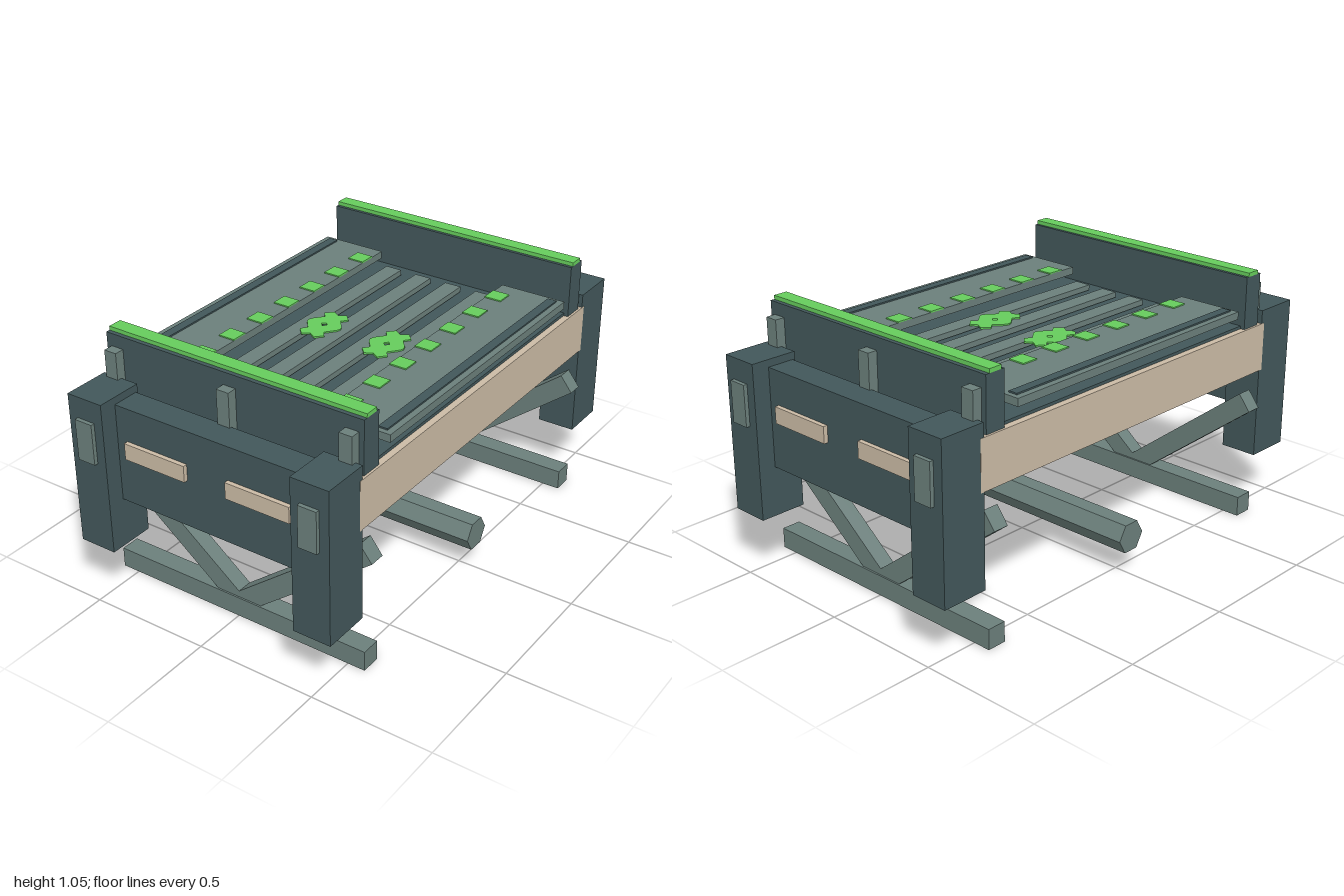
import * as THREE from 'three';

const mat = (name, color) => {
  const m = new THREE.MeshStandardMaterial({ color });
  m.name = name;
  return m;
};

export function createModel() {
  const model = new THREE.Group();
  model.name = 'platform';
  const dark = mat('darkSlate', 0x42575a);
  const grey = mat('greyGreen', 0x6b7f7b);
  const tan = mat('tan', 0xcbbba5);
  const green = mat('brightGreen', 0x66cc5c);

  // Box given by its lower and upper bounds on each axis
  const box = (name, m, x0, x1, y0, y1, z0, z1, parent = model) => {
    const mesh = new THREE.Mesh(new THREE.BoxGeometry(x1 - x0, y1 - y0, z1 - z0), m);
    mesh.position.set((x0 + x1) / 2, (y0 + y1) / 2, (z0 + z1) / 2);
    mesh.name = name;
    parent.add(mesh);
    return mesh;
  };

  // Main deck
  box('deckBody', tan, -0.574, 0.574, 0.62, 0.82, -0.806, 0.806);
  box('deckPlate', dark, -0.547, 0.547, 0.82, 0.832, -0.72, 0.72);

  // Central slats
  for (const x of [-0.2175, -0.0725, 0.0725, 0.2175])
    box('slat', grey, x - 0.036, x + 0.036, 0.838, 0.861, -0.605, 0.605);

  // Raised side panels with edge strips and marker squares
  for (const s of [-1, 1]) {
    const side = new THREE.Group();
    side.name = s > 0 ? 'leftSidePanel' : 'rightSidePanel';
    model.add(side);
    const c = s * 0.433;
    box('panel', grey, c - 0.14, c + 0.14, 0.88, 0.911, -0.625, 0.625, side);
    box('edgeStrip', dark, s * 0.529 - 0.019, s * 0.529 + 0.019, 0.909, 0.917, -0.605, 0.605, side);
    for (let i = -3; i <= 3; i++) {
      const z = i * 0.172;
      box('marker', green, s * 0.329 - 0.036, s * 0.329 + 0.036, 0.909, 0.916, z - 0.035, z + 0.035, side);
    }
  }

  // Star-shaped emblems with a small diamond hole
  const quarter = [[0.077, 0], [0.07, 0.018], [0.038, 0.057], [0.058, 0.082], [0.03, 0.112], [0, 0.094]];
  const outline = [
    ...quarter,
    ...quarter.slice(0, -1).reverse().map(([x, y]) => [-x, y]),
    ...quarter.slice(1).map(([x, y]) => [-x, -y]),
    ...quarter.slice(1, -1).reverse().map(([x, y]) => [x, -y]),
  ].map(([x, y]) => new THREE.Vector2(x, y));
  const star = new THREE.Shape(outline);
  star.holes.push(new THREE.Path([[0.014, 0], [0, -0.014], [-0.014, 0], [0, 0.014]].map((p) => new THREE.Vector2(...p))));
  const starGeo = new THREE.ExtrudeGeometry(star, { depth: 0.007, bevelEnabled: false }).rotateX(-Math.PI / 2);
  for (const x of [-0.146, 0.146]) {
    const m = new THREE.Mesh(starGeo, green);
    m.position.set(x, 0.86, 0);
    m.name = 'starMarker';
    model.add(m);
  }

  // Hexagonal roller under the deck
  const hex = new THREE.CylinderGeometry(0.067, 0.067, 1.146, 6).toNonIndexed();
  hex.computeVertexNormals();
  hex.rotateZ(Math.PI / 2);
  const roller = new THREE.Mesh(hex, grey);
  roller.position.y = 0.159;
  roller.name = 'roller';
  model.add(roller);

  // End assembly, repeated at the back by a half turn
  for (const back of [false, true]) {
    const end = new THREE.Group();
    end.name = back ? 'backEnd' : 'frontEnd';
    end.rotation.y = back ? Math.PI : 0;
    model.add(end);
    box('endPanel', dark, -0.42, 0.42, 0.445, 0.845, 0.8, 0.912, end);
    box('bumper', dark, -0.565, 0.565, 0.82, 1.035, 0.682, 0.77, end);
    box('bumperTrim', green, -0.565, 0.565, 1.035, 1.051, 0.695, 0.753, end);
    box('skid', grey, -0.573, 0.573, 0, 0.083, 0.695, 0.775, end);
    for (const x of [-0.517, 0, 0.517])
      box('bracket', grey, x - 0.027, x + 0.027, 0.82, 0.984, 0.765, 0.81, end);
    for (const s of [-1, 1]) {
      box('leg', dark, s * 0.494 - 0.079, s * 0.494 + 0.079, 0.245, 0.875, 0.79, 0.984, end);
      box('legPlate', grey, s * 0.494 - 0.039, s * 0.494 + 0.039, 0.62, 0.788, 0.98, 1, end);
      box('endInset', tan, s * 0.23 - 0.138, s * 0.23 + 0.138, 0.641, 0.708, 0.905, 0.93, end);
      // Diagonal brace rising from the skid centre
      const brace = new THREE.Mesh(new THREE.BoxGeometry(0.726, 0.083, 0.066), grey);
      brace.position.set(s * 0.286, 0.28, 0.735);
      brace.rotation.z = s * Math.atan2(0.447, 0.572);
      brace.name = 'brace';
      end.add(brace);
    }
  }
  return model;
}
